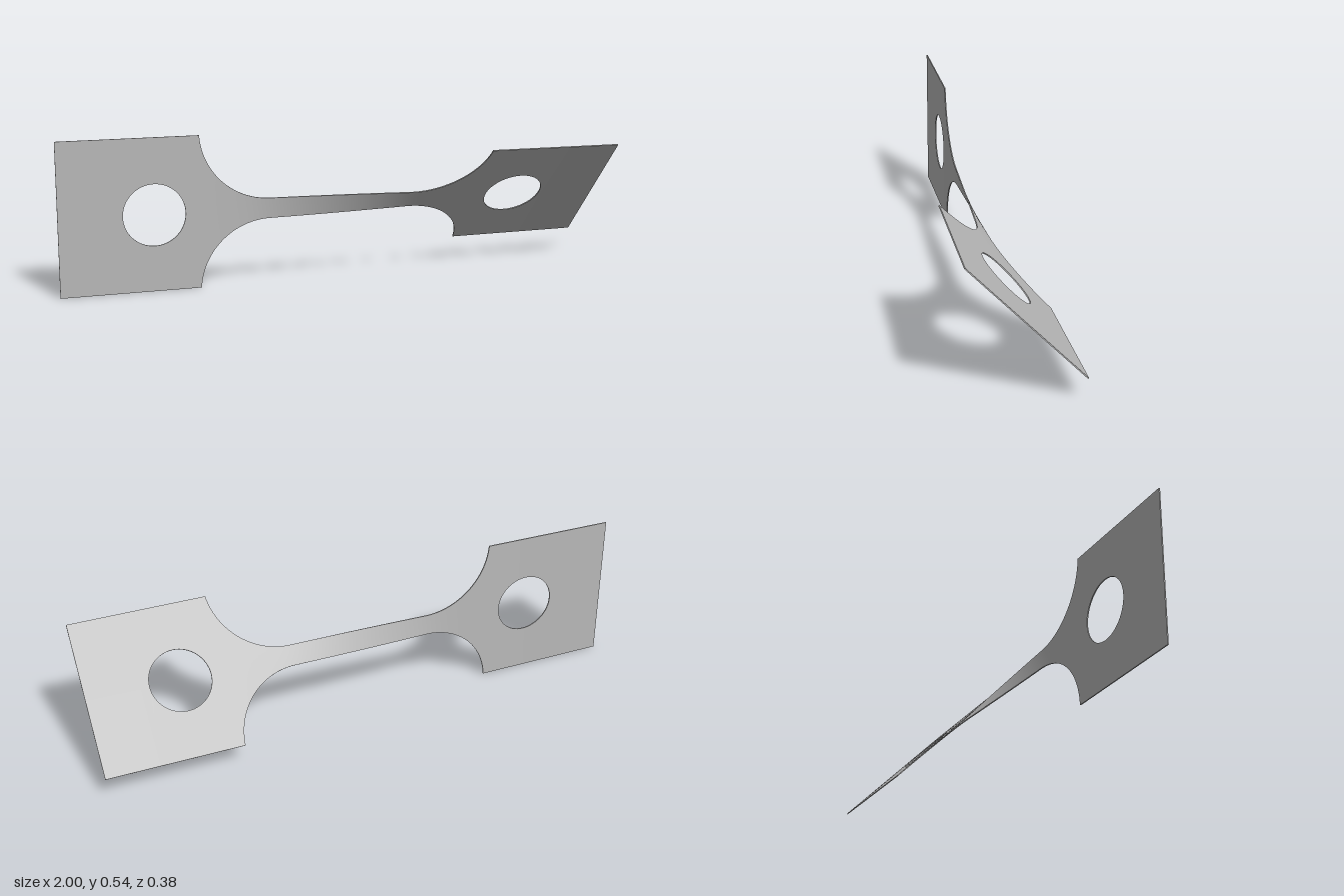
import * as THREE from 'three';
import { mergeGeometries } from 'three/addons/utils/BufferGeometryUtils.js';

const HALF = 0.271;        // half height of the end plates
const MID = 0.271;         // height of the long axis
const THICK = 0.004;
const SHOULDER = 0.51;     // where the plates meet the fillets
const HOLE_X = 0.67, HOLE_R = 0.109;
const NECK = 0.037, FILLET = 0.25;
const TWIST = THREE.MathUtils.degToRad(44);

// Half height of the strip at x: plate, circular fillet, narrow neck
function halfHeight(x) {
  const a = Math.abs(x);
  if (a > SHOULDER) return HALF;
  const d = Math.max(0, a - (SHOULDER - FILLET));
  return Math.min(HALF, NECK + FILLET - Math.sqrt(Math.max(0, FILLET ** 2 - d * d)));
}

// Twist builds up along x, fastest where the strip is narrowest
const STEPS = 400;
const turn = [0];
for (let i = 0; i < STEPS; i++) {
  turn.push(turn[i] + 1 / halfHeight(-1 + (2 * (i + 0.5)) / STEPS) ** 2);
}
function angleAt(x) {
  const f = THREE.MathUtils.clamp(((x + 1) / 2) * STEPS, 0, STEPS);
  const i = Math.min(STEPS - 1, Math.floor(f));
  return (TWIST * THREE.MathUtils.lerp(turn[i], turn[i + 1], f - i)) / turn[STEPS];
}

// A thin strip between two edge curves, bunched toward its ends, then twisted
function strip(x0, x1, lower, upper, segments, rows = 2) {
  const geo = new THREE.BoxGeometry(2, 1, THICK, segments, rows, 1);
  const p = geo.attributes.position;
  for (let i = 0; i < p.count; i++) {
    const x = (x0 + x1) / 2 + ((x1 - x0) / 2) * Math.sin((p.getX(i) * Math.PI) / 2);
    const y = THREE.MathUtils.lerp(lower(x), upper(x), p.getY(i) + 0.5);
    const z = p.getZ(i);
    const a = angleAt(x), c = Math.cos(a), s = Math.sin(a);
    p.setXYZ(i, x, MID + y * c - z * s, y * s + z * c);
  }
  geo.computeVertexNormals();
  return geo;
}

export function createModel() {
  const group = new THREE.Group();
  const grey = new THREE.MeshStandardMaterial({ color: 0xb8b8b8 });
  grey.name = 'plain grey';
  const top = () => HALF, bottom = () => -HALF;

  // End plates, each with a round hole
  for (const side of [-1, 1]) {
    const hx = side * HOLE_X;
    const arc = (x) => Math.sqrt(Math.max(0, HOLE_R ** 2 - (x - hx) ** 2));
    const span = (a, b) => [Math.min(side * a, side * b), Math.max(side * a, side * b)];
    const hole = span(HOLE_X - HOLE_R, HOLE_X + HOLE_R);
    const plate = new THREE.Mesh(mergeGeometries([
      strip(...span(SHOULDER, HOLE_X - HOLE_R), bottom, top, 2),
      strip(...hole, arc, top, 32),
      strip(...hole, bottom, (x) => -arc(x), 32),
      strip(...span(HOLE_X + HOLE_R, 1), bottom, top, 4),
    ]), grey);
    plate.name = side > 0 ? 'leftEndPlate' : 'rightEndPlate';
    group.add(plate);
  }

  // Twisted neck with its fillets
  const neck = new THREE.Mesh(
    strip(-SHOULDER, SHOULDER, (x) => -halfHeight(x), halfHeight, 96, 6), grey);
  neck.name = 'twistedNeck';
  group.add(neck);
  return group;
}
